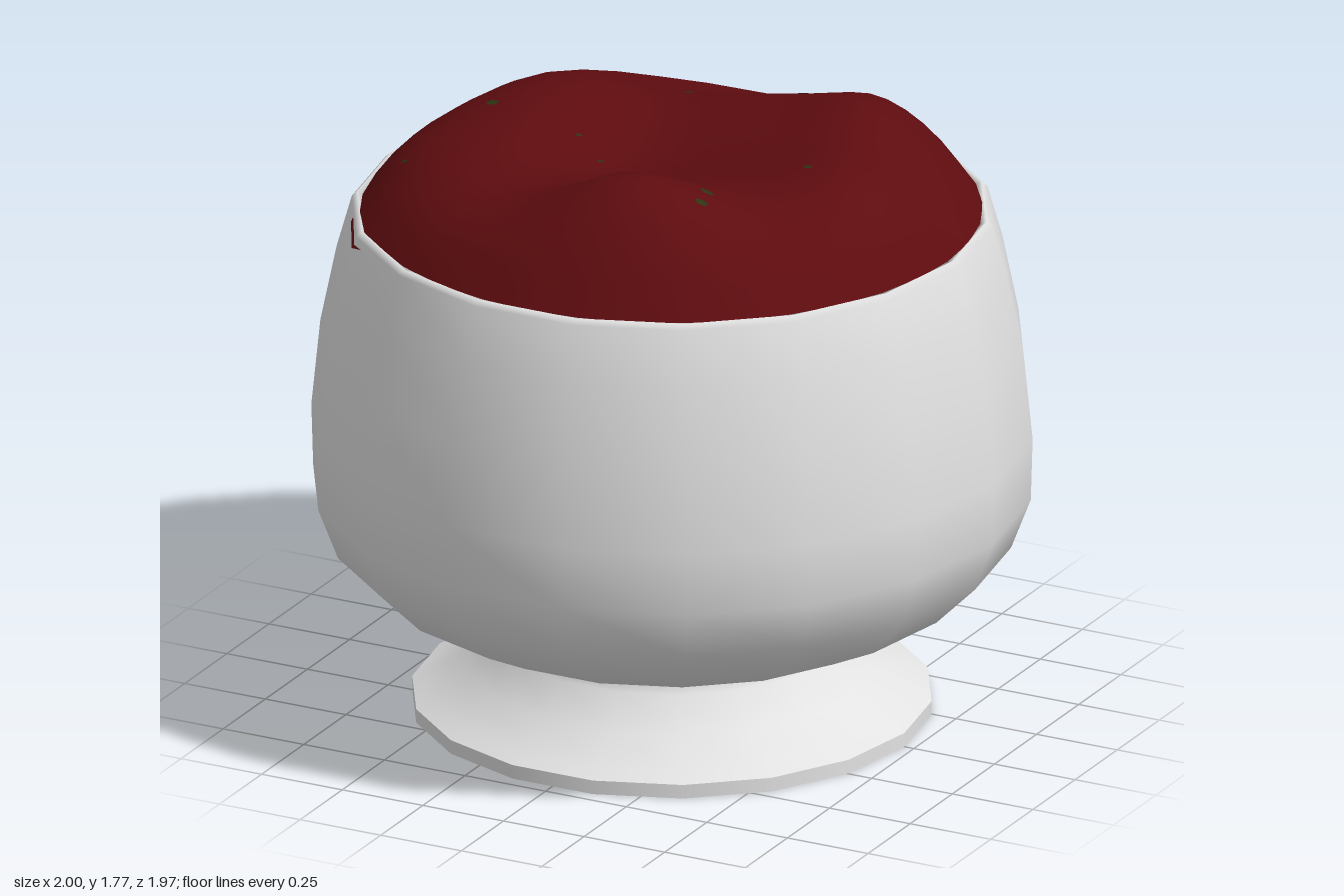
import * as THREE from 'three';
import { mergeVertices } from 'three/addons/utils/BufferGeometryUtils.js';

const SIDES = 18;
const FILL_RADIUS = 0.855;

// lumps on the filling: x, z, height, spread
const LUMPS = [
  [0.15, 0.54, 0.16, 0.18],
  [0.42, -0.38, 0.11, 0.15],
  [0.57, 0.05, 0.1, 0.19],
  [-0.44, -0.2, 0.07, 0.2],
  [-0.5, 0.3, 0.03, 0.2],
  [-0.08, 0.08, -0.04, 0.2],
  [0.1, -0.35, 0.06, 0.18],
  [-0.05, -0.74, -0.08, 0.22],
  [0.76, -0.2, -0.05, 0.15],
];

// height of the filling at a point
function fillHeight(x, z) {
  const edge = 1 - Math.pow(Math.min(1, Math.hypot(x, z) / FILL_RADIUS), 8);
  let h = 0.16 + 0.008 * Math.sin(9 * x + 4 * z) * Math.cos(8 * z - 2 * x);
  for (const [lx, lz, height, spread] of LUMPS) {
    h += height * Math.exp(-((x - lx) ** 2 + (z - lz) ** 2) / (2 * spread * spread));
  }
  return 1.46 + h * edge;
}

function lathe(name, points, material) {
  const profile = points.map(([r, y]) => new THREE.Vector2(r, y));
  const mesh = new THREE.Mesh(new THREE.LatheGeometry(profile, SIDES, Math.PI / 2), material);
  mesh.name = name;
  return mesh;
}

// lumpy filling, spilling a little over the rim at one spot
function makeFilling(material) {
  let geometry = new THREE.RingGeometry(0, FILL_RADIUS, 36, 16).rotateX(-Math.PI / 2);
  geometry.deleteAttribute('uv');
  geometry.deleteAttribute('normal');
  const pos = geometry.attributes.position;
  const spillAngle = Math.atan2(0.53, -0.7);
  for (let i = 0; i < pos.count; i++) {
    const x = pos.getX(i), z = pos.getZ(i);
    const t = Math.pow(Math.hypot(x, z) / FILL_RADIUS, 10);
    const spill = t * Math.exp(-(((Math.atan2(z, x) - spillAngle) / 0.16) ** 2));
    const scale = 1 + 0.06 * spill;
    pos.setXYZ(i, x * scale, fillHeight(x, z) - 0.045 * spill, z * scale);
  }
  geometry = mergeVertices(geometry, 1e-4);
  geometry.computeVertexNormals();
  const mesh = new THREE.Mesh(geometry, material);
  mesh.name = 'filling';
  return mesh;
}

// small herb flecks lying on the filling: x, z, size
function makeFlecks(material) {
  const group = new THREE.Group();
  group.name = 'herbFlecks';
  const spots = [
    [-0.14, -0.37, 0.016], [0.14, -0.51, 0.02], [-0.56, -0.01, 0.022],
    [0.47, 0.09, 0.015], [0.32, 0.41, 0.022], [0.34, 0.48, 0.02],
    [-0.66, 0.32, 0.014], [-0.17, 0.1, 0.01], [-0.28, 0.02, 0.01],
  ];
  const e = 0.02;
  spots.forEach(([x, z, size], i) => {
    const fleck = new THREE.Mesh(new THREE.CircleGeometry(size, 6), material);
    const normal = new THREE.Vector3(
      fillHeight(x - e, z) - fillHeight(x + e, z), 2 * e,
      fillHeight(x, z - e) - fillHeight(x, z + e)).normalize();
    fleck.quaternion.setFromUnitVectors(new THREE.Vector3(0, 0, 1), normal);
    fleck.position.set(x, fillHeight(x, z), z).addScaledVector(normal, 0.006);
    fleck.scale.y = 0.65;
    fleck.name = 'herbFleck' + (i + 1);
    group.add(fleck);
  });
  return group;
}

export function createModel() {
  const ceramic = new THREE.MeshStandardMaterial({ color: 0xe2e2e2 });
  ceramic.name = 'white ceramic';
  const sauce = new THREE.MeshStandardMaterial({ color: 0x5e0c0f });
  sauce.name = 'dark red filling';
  const herb = new THREE.MeshStandardMaterial({ color: 0x2c3512, side: THREE.DoubleSide });
  herb.name = 'dark green herb';

  const model = new THREE.Group();
  model.name = 'filledBowl';

  // foot
  model.add(lathe('footUnderside', [[0, 0], [0.72, 0]], ceramic));
  model.add(lathe('footEdge', [[0.72, 0], [0.72, 0.04]], ceramic));
  model.add(lathe('footFlare', [
    [0.72, 0.04], [0.68, 0.06], [0.565, 0.125], [0.49, 0.215], [0.475, 0.245], [0.475, 0.28],
  ], ceramic));

  // bowl wall, from the underside up over the rim and down inside
  model.add(lathe('bowl', [
    [0.465, 0.265], [0.52, 0.277], [0.66, 0.305], [0.82, 0.385], [0.94, 0.505], [0.995, 0.65],
    [1, 0.83], [0.975, 1.08], [0.93, 1.3], [0.888, 1.45], [0.872, 1.465],
    [0.855, 1.455], [0.9, 1.25], [0.935, 0.83], [0.925, 0.66], [0.84, 0.48], [0.6, 0.37], [0, 0.34],
  ], ceramic));

  model.add(makeFilling(sauce), makeFlecks(herb));
  return model;
}
